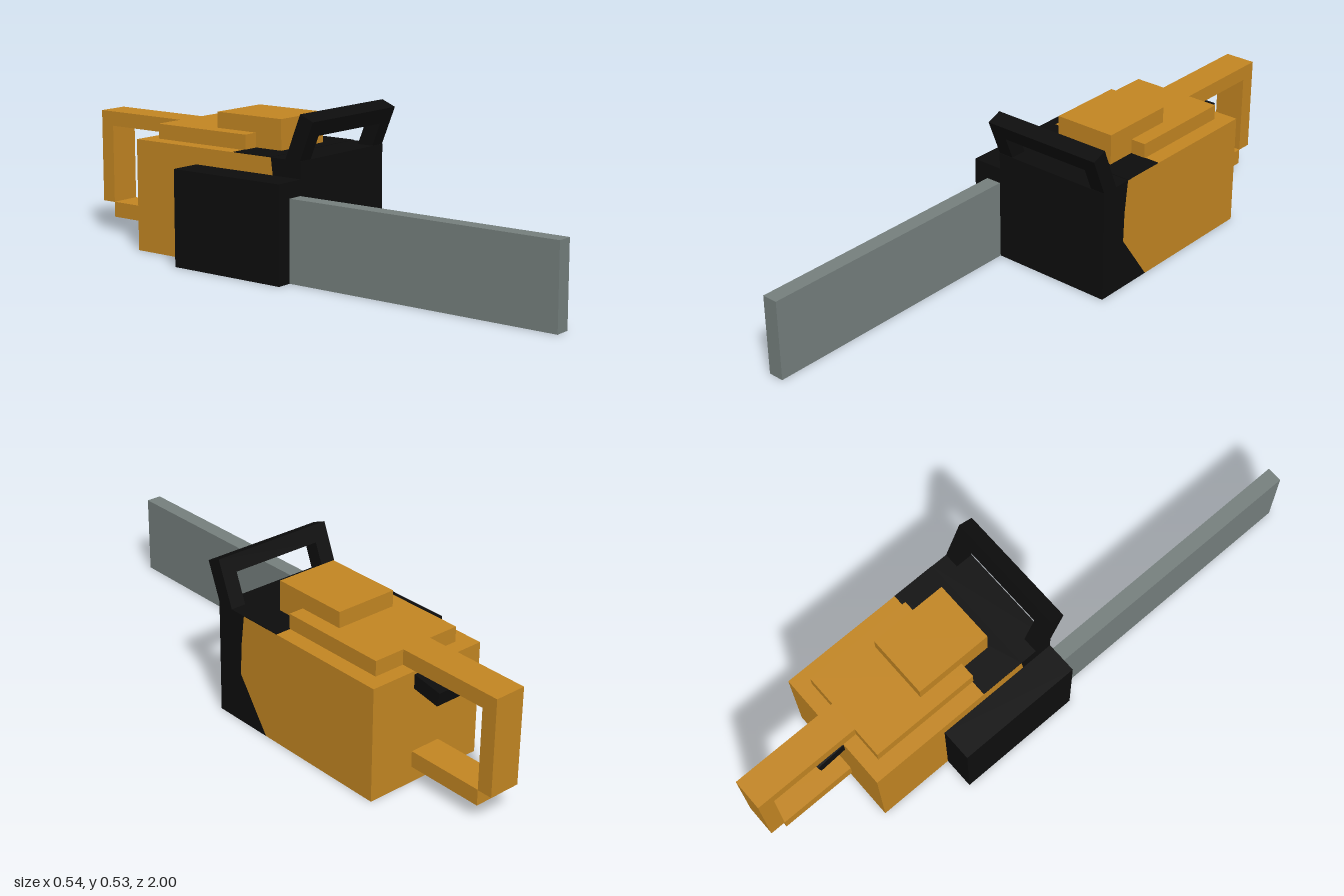
import * as THREE from 'three';

const mat = (name, color) => {
  const m = new THREE.MeshStandardMaterial({ color });
  m.name = name;
  return m;
};

export function createModel() {
  const orange = mat('orange casing', 0xc28522);
  const black = mat('black plastic', 0x0d0d0d);
  const steel = mat('grey steel', 0x757f7d);
  const group = new THREE.Group();

  const add = (name, geometry, material) => {
    const mesh = new THREE.Mesh(geometry, material);
    mesh.name = name;
    group.add(mesh);
    return mesh;
  };

  // Box given by its min and max along each axis
  const box = (name, material, [x0, x1], [y0, y1], [z0, z1]) => {
    const mesh = add(name, new THREE.BoxGeometry(x1 - x0, y1 - y0, z1 - z0), material);
    mesh.position.set((x0 + x1) / 2, (y0 + y1) / 2, (z0 + z1) / 2);
    return mesh;
  };

  // Side profile of [z, y] points, extruded across x
  const sideProfile = (name, material, points, [x0, x1]) => {
    const shape = new THREE.Shape(points.map(([z, y]) => new THREE.Vector2(z, y)));
    const geometry = new THREE.ExtrudeGeometry(shape, { depth: x1 - x0, bevelEnabled: false });
    geometry.rotateY(-Math.PI / 2).translate(x1, 0, 0);
    return add(name, geometry, material);
  };

  // Engine body: black nose and orange rear meeting along one seam
  const bodyX = [-0.162, 0.27], top = 0.382, front = 0.03, back = -0.675;
  const seam = [[-0.192, 0], [-0.072, 0.17], [-0.076, 0.27], [-0.09, top]];
  sideProfile('bodyNose', black, [...seam, [front, top], [front, 0]], bodyX);
  sideProfile('bodyRear', orange, [...seam, [back, top], [back, 0]], bodyX);
  box('noseTopPanel', black, bodyX, [top - 0.001, top + 0.002], [-0.245, -0.09]);

  // Covers on top
  box('topCover', orange, [-0.108, 0.216], [top, 0.433], [-0.625, -0.242]);
  box('filterCover', orange, [-0.054, 0.163], [top, 0.487], [-0.408, -0.136]);

  // Clutch cover and guide bar on the right side
  box('clutchCover', black, [-0.27, -0.162], [0, 0.325], [-0.408, front]);
  box('guideBar', steel, [-0.217, -0.163], [0, 0.272], [front, 1]);

  // Rear handle loop
  const gripX = [0, 0.108];
  box('rearHandleTop', orange, gripX, [top, 0.433], [-0.947, -0.625]);
  box('rearHandleBack', orange, gripX, [0.108, 0.433], [-1, -0.947]);
  box('rearHandleBottom', orange, gripX, [0.055, 0.109], [-0.947, back]);

  // Tilted trigger under the grip
  const trigger = box('trigger', black, gripX, [0.318, 0.365], [-0.776, -0.64]);
  trigger.rotation.x = -0.18;

  // Front hand guard: two legs and a crossbar, leaning forward
  const guard = new THREE.Shape([
    [-0.162, -0.03], [-0.108, -0.03], [-0.108, 0.084], [0.217, 0.084],
    [0.217, -0.03], [0.27, -0.03], [0.27, 0.139], [-0.162, 0.139],
  ].map(([x, y]) => new THREE.Vector2(x, y)));
  const guardGeometry = new THREE.ExtrudeGeometry(guard, { depth: 0.055, bevelEnabled: false });
  guardGeometry.translate(0, 0, -0.055);
  const handGuard = add('handGuard', guardGeometry, black);
  handGuard.rotation.x = 0.385;
  handGuard.position.set(0, 0.381, 0.028);

  return group;
}
